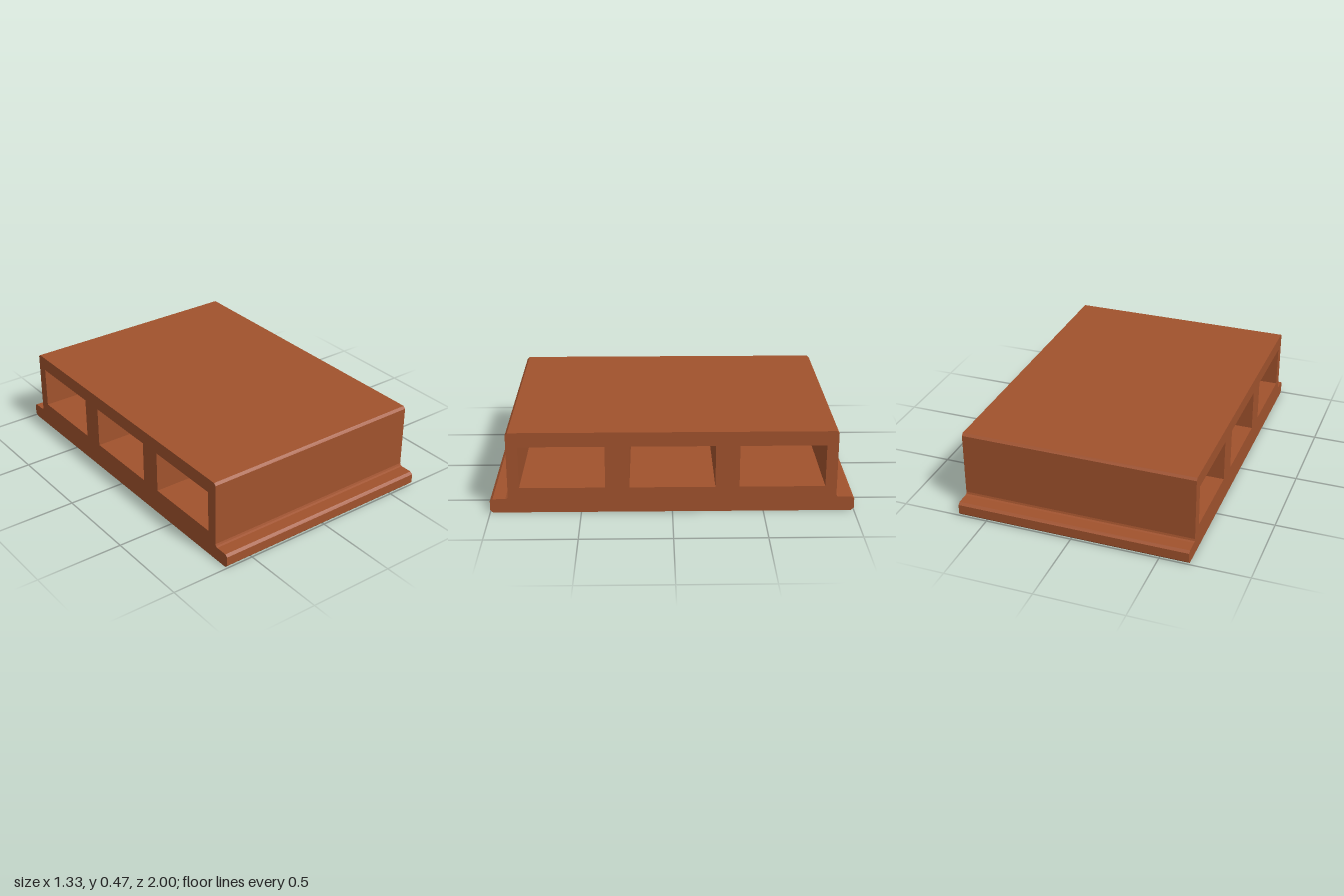
import * as THREE from 'three';

export function createModel() {
  const group = new THREE.Group();
  const clay = new THREE.MeshStandardMaterial({ color: 0xa0522d });
  clay.name = 'sienna clay';

  const width = 1.33;

  // Half outline of the side profile (depth, height): chamfered flange, then body
  const half = [
    [0.985, 0], [1, 0.015], [1, 0.068], [0.985, 0.08], [0.915, 0.08],
    [0.904, 0.084], [0.9, 0.095], [0.9, 0.454], [0.887, 0.467],
  ];
  const mirrored = half.map(([z, y]) => [-z, y]).reverse();
  const profile = new THREE.Shape([...half, ...mirrored].map(([z, y]) => new THREE.Vector2(z, y)));

  // Three rectangular channels running through the full width
  for (const centre of [-0.602, 0, 0.602]) {
    const w = 0.235, bottom = 0.145, top = 0.385;
    profile.holes.push(new THREE.Path([
      new THREE.Vector2(centre - w, bottom),
      new THREE.Vector2(centre - w, top),
      new THREE.Vector2(centre + w, top),
      new THREE.Vector2(centre + w, bottom),
    ]));
  }

  // Extrude along the width and turn the profile to face the sides
  const geometry = new THREE.ExtrudeGeometry(profile, { depth: width, bevelEnabled: false });
  geometry.translate(0, 0, -width / 2);
  geometry.rotateY(Math.PI / 2);

  const block = new THREE.Mesh(geometry, clay);
  block.name = 'hollowBlock';
  group.add(block);
  return group;
}
